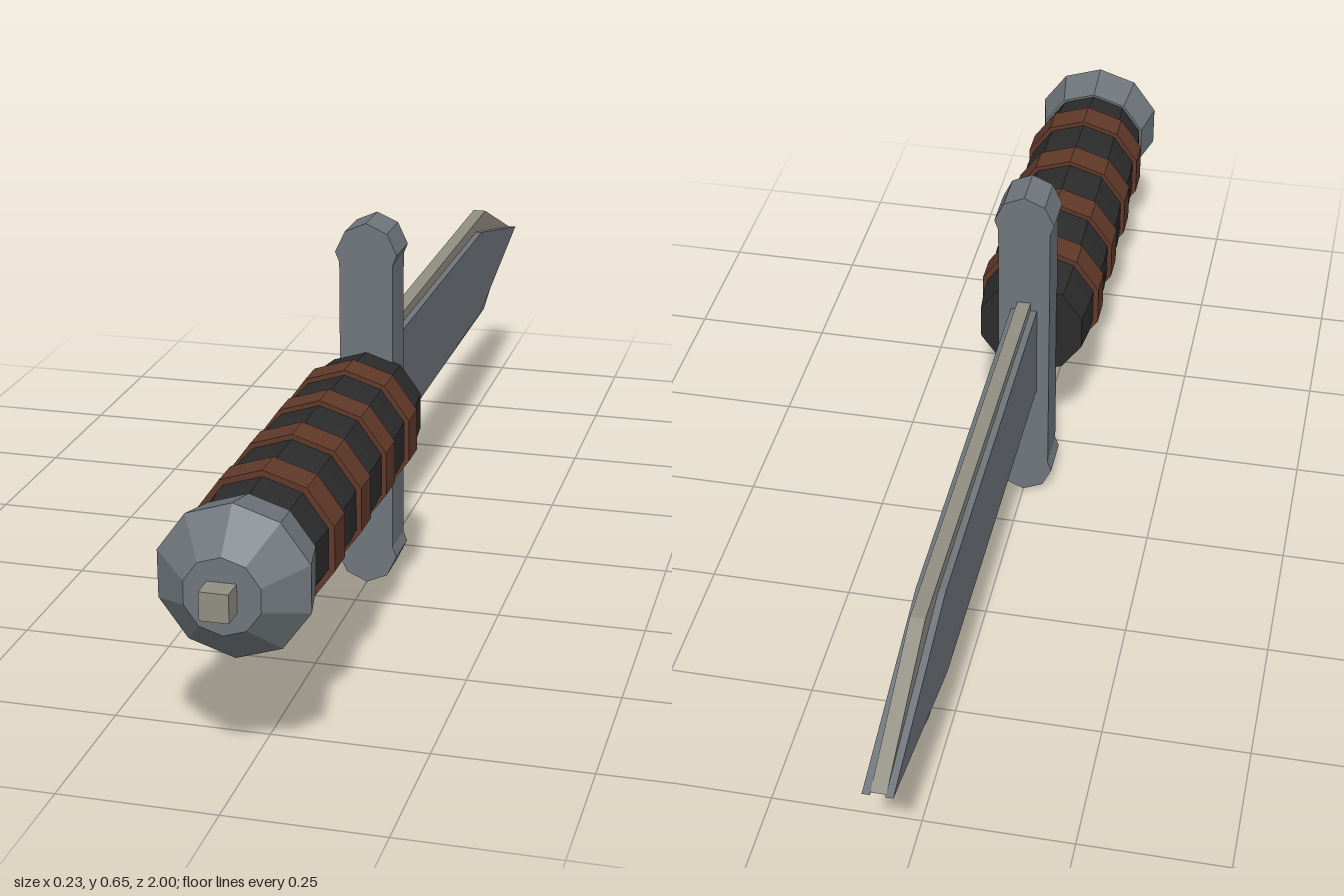
import * as THREE from 'three';

const CY = 0.326; // height of the dagger's long axis
const SIDES = 10;

const mat = (name, color) => {
  const m = new THREE.MeshStandardMaterial({ color });
  m.name = name;
  return m;
};

// faceted normals for the low-poly look
const facet = (geo) => {
  const g = geo.index ? geo.toNonIndexed() : geo;
  g.computeVertexNormals();
  return g;
};

// ten-sided turned part along z from [z, radius] pairs, corner at the top
const turned = (pairs) => {
  const g = new THREE.LatheGeometry(pairs.map(([z, r]) => new THREE.Vector2(r, z)), SIDES);
  return facet(g.rotateX(Math.PI / 2));
};

// plate in the y-z plane, centred on x with the given thickness
const sidePlate = (points, thickness) => {
  const shape = new THREE.Shape(points.map(([z, y]) => new THREE.Vector2(-z, y)));
  const g = new THREE.ExtrudeGeometry(shape, { depth: thickness, bevelEnabled: false });
  g.translate(0, 0, -thickness / 2);
  return facet(g.rotateY(Math.PI / 2));
};

export function createModel() {
  const model = new THREE.Group();
  model.name = 'dagger';
  const steel = mat('steel', 0x6f767b);
  const edgeSteel = mat('edge steel', 0x918e82);
  const leather = mat('black leather', 0x2c2c2c);
  const strap = mat('brown strap', 0x613a2a);

  const add = (name, geo, material, x = 0, y = CY, z = 0) => {
    const mesh = new THREE.Mesh(geo, material);
    mesh.name = name;
    mesh.position.set(x, y, z);
    model.add(mesh);
  };

  // blade core with the exposed cutting edges
  add('bladeEdge', sidePlate([
    [0.12, -0.105], [-0.735, -0.105], [-0.995, 0], [-0.735, 0.105], [0.12, 0.105],
  ], 0.024), edgeSteel);

  // raised flats on both sides of the blade
  for (const s of [-1, 1]) {
    add(s > 0 ? 'leftBladeFlat' : 'rightBladeFlat', sidePlate([
      [0.12, -0.089], [-0.27, -0.087], [-0.65, -0.084], [-1, 0],
      [-0.65, 0.084], [-0.27, 0.087], [0.12, 0.089],
    ], 0.012), steel, s * 0.0175);
  }

  // crossguard with swollen pointed ends
  const quarter = [[0.046, 0.254], [0.053, 0.272], [0.036, 0.308]];
  const outline = [
    ...quarter, [0, 0.324],
    ...quarter.map(([x, y]) => [-x, y]).reverse(),
    ...quarter.map(([x, y]) => [-x, -y]), [0, -0.324],
    ...quarter.map(([x, y]) => [x, -y]).reverse(),
  ];
  const guard = new THREE.ExtrudeGeometry(
    new THREE.Shape(outline.map(([x, y]) => new THREE.Vector2(x, y))),
    { depth: 0.077, bevelEnabled: false });
  add('crossguard', facet(guard), steel, 0, CY, 0.095);

  // gently bulging grip
  add('grip', turned([
    [0.165, 0], [0.165, 0.098], [0.22, 0.104], [0.285, 0.104], [0.36, 0.108],
    [0.43, 0.104], [0.51, 0.109], [0.585, 0.104], [0.66, 0.108], [0.735, 0.104],
    [0.79, 0.104], [0.845, 0.098], [0.845, 0],
  ]), leather);

  // straps around the grip
  for (const z of [0.283, 0.433, 0.586, 0.737]) {
    add('gripStrap', turned([
      [-0.028, 0.09], [-0.028, 0.114], [0.028, 0.114], [0.028, 0.09],
    ]), strap, 0, CY, z);
  }

  // pommel and the end of the tang
  add('pommel', turned([
    [0.832, 0], [0.832, 0.104], [0.908, 0.12], [0.963, 0.06], [0.963, 0],
  ]), steel);
  add('tang', new THREE.BoxGeometry(0.044, 0.044, 0.06), edgeSteel, 0, CY, 0.97);

  return model;
}
